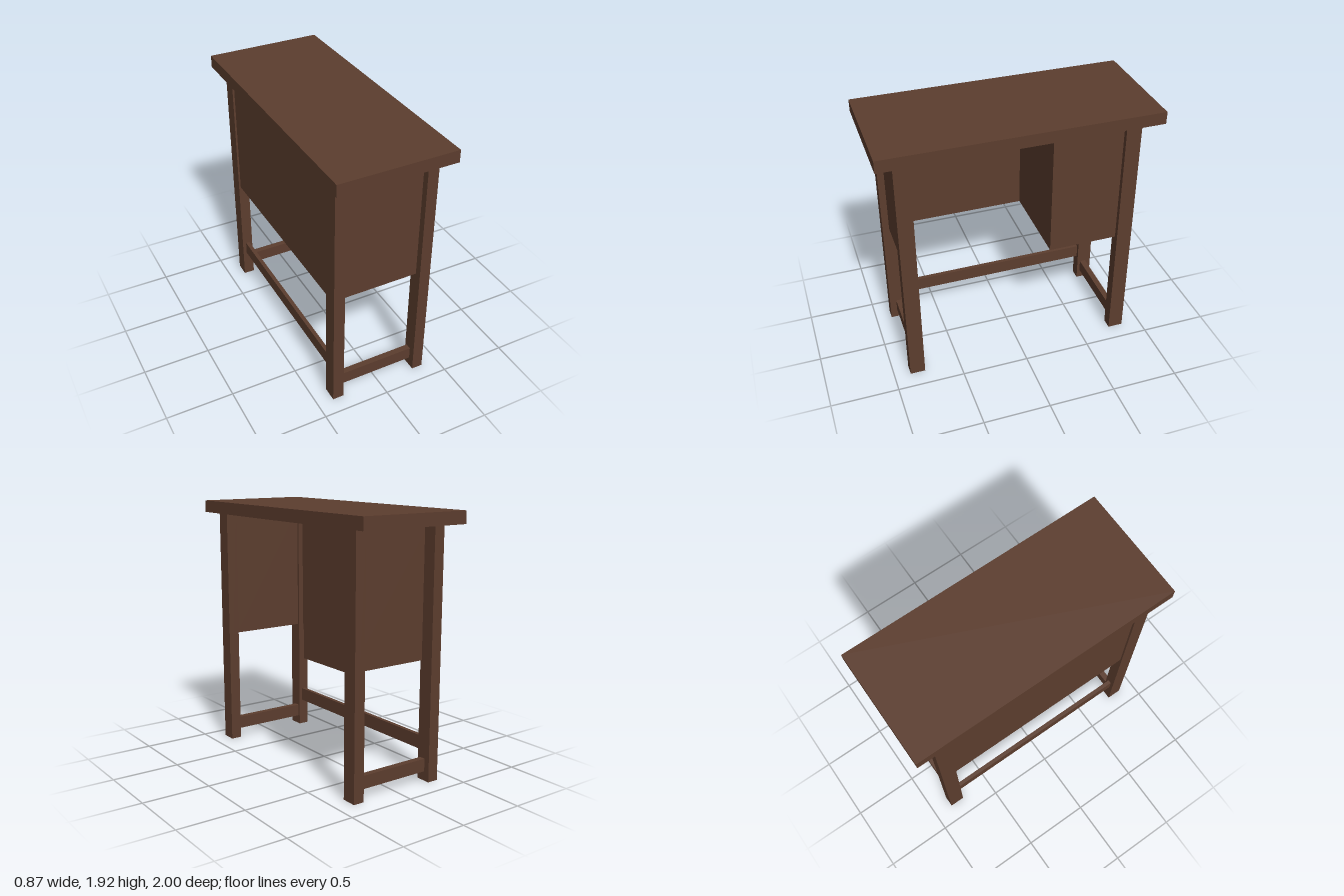
import * as THREE from 'three';

export function createModel() {
  const desk = new THREE.Group();
  desk.name = 'desk';
  const wood = new THREE.MeshStandardMaterial({ color: 0x5c3d2e });
  wood.name = 'dark brown wood';

  // Box given by its extents along each axis
  const board = (name, [x0, x1], [y0, y1], [z0, z1]) => {
    const mesh = new THREE.Mesh(new THREE.BoxGeometry(x1 - x0, y1 - y0, z1 - z0), wood);
    mesh.position.set((x0 + x1) / 2, (y0 + y1) / 2, (z0 + z1) / 2);
    mesh.name = name;
    desk.add(mesh);
  };

  const underTop = 1.83;
  const panelY = [0.875, underTop];
  const legX = { right: [-0.378, -0.295], left: [0.29, 0.372] };
  const legZ = { front: [0.768, 0.88], back: [-0.855, -0.742] };

  board('tabletop', [-0.434, 0.432], [underTop, 1.92], [-1, 1]);

  // Four legs
  for (const [side, x] of Object.entries(legX))
    for (const [end, z] of Object.entries(legZ))
      board(`${end} ${side} leg`, x, [0, underTop], z);

  // Low rails between the legs at each end, and a higher one along the side
  const between = [-0.295, 0.29];
  board('frontRail', between, [0.07, 0.165], [0.785, 0.83]);
  board('backRail', between, [0.07, 0.165], [-0.81, -0.765]);
  board('sideRail', [-0.35, -0.32], [0.21, 0.312], [-0.742, 0.768]);

  // Panels closing the front end and the long side
  board('frontPanel', between, panelY, [0.785, 0.83]);
  board('sidePanel', [-0.364, -0.335], panelY, [-0.742, 0.768]);

  // Storage cabinet beside the open knee space
  board('cabinet', [-0.335, 0.338], panelY, [-0.755, -0.225]);

  return desk;
}
